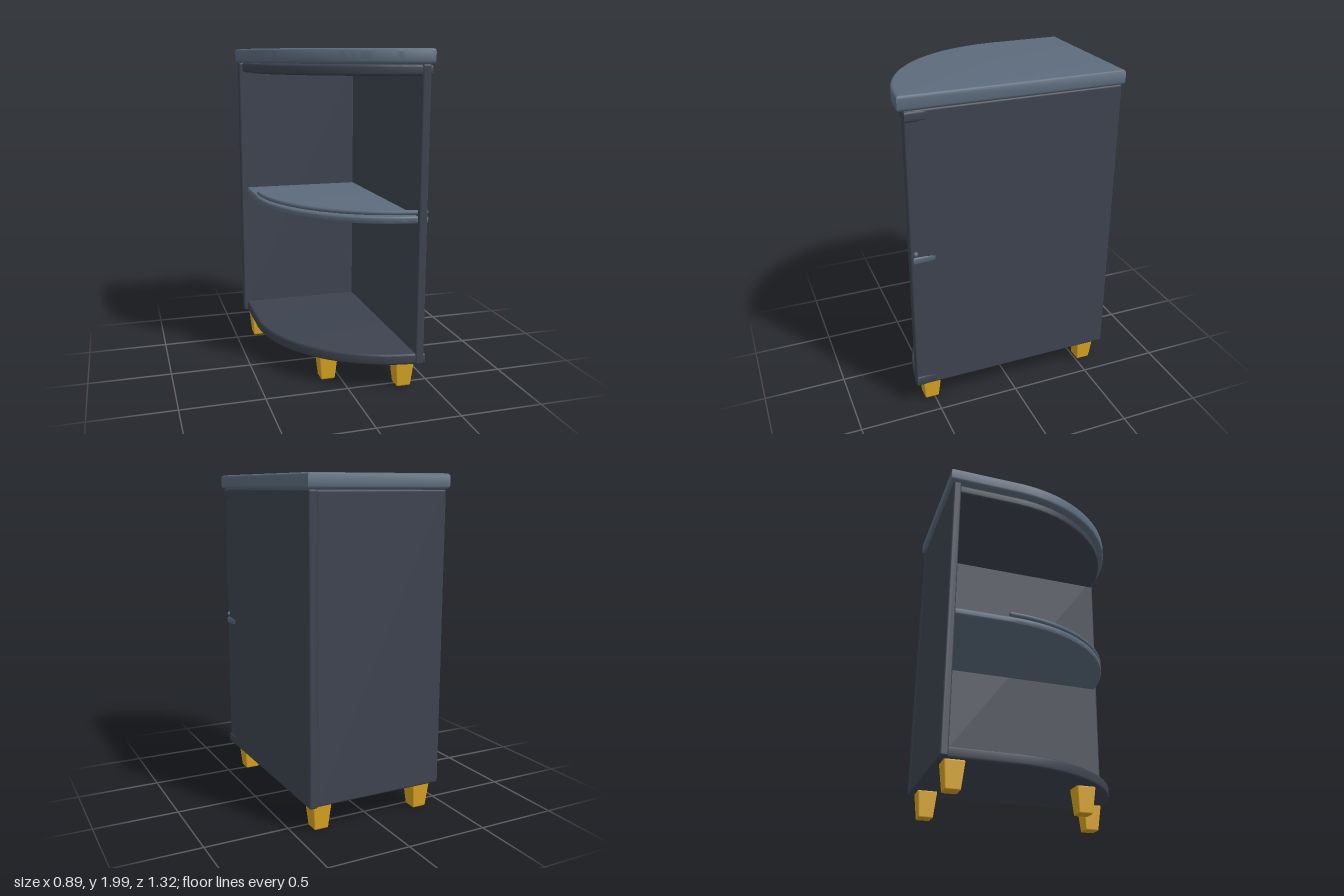
import * as THREE from 'three';
import { RoundedBoxGeometry } from 'three/addons/geometries/RoundedBoxGeometry.js';
import { toCreasedNormals } from 'three/addons/utils/BufferGeometryUtils.js';

const mat = (name, color) => new THREE.MeshStandardMaterial({ name, color });

// Quarter-ellipse board with a rounded edge. Plan is drawn with shape y = -z.
function board({ left, right, back, front, curveZ, y0, y1, bevel, overhang = 0 }) {
  const s = new THREE.Shape();
  s.moveTo(left, -back);
  s.lineTo(left, -curveZ);
  // curve from the left edge round to the front corner
  s.absellipse(right, -curveZ, right - left, front - curveZ, Math.PI, Math.PI * 1.5, false);
  // the front corner may stand slightly proud of the side panel
  if (overhang) s.lineTo(right - overhang, -(front - 0.23));
  s.lineTo(right - overhang, -back);
  s.closePath();
  const g = new THREE.ExtrudeGeometry(s, {
    depth: y1 - y0 - 2 * bevel,
    bevelEnabled: true, bevelThickness: bevel, bevelSize: bevel,
    bevelOffset: -bevel, bevelSegments: 4, curveSegments: 24,
  });
  g.rotateX(-Math.PI / 2).translate(0, y0 + bevel, 0);
  return toCreasedNormals(g, 0.7);
}

// Rounded box given by its limits
function panel(x0, x1, y0, y1, z0, z1) {
  return new RoundedBoxGeometry(x1 - x0, y1 - y0, z1 - z0, 3, 0.012)
    .translate((x0 + x1) / 2, (y0 + y1) / 2, (z0 + z1) / 2);
}

// Square foot, narrowing towards the floor
function footGeometry() {
  const h = 0.162;
  const g = new RoundedBoxGeometry(0.12, h, 0.12, 2, 0.01);
  const p = g.attributes.position;
  for (let i = 0; i < p.count; i++) {
    const k = 0.72 + 0.28 * (p.getY(i) / h + 0.5);
    p.setX(i, p.getX(i) * k);
    p.setZ(i, p.getZ(i) * k);
  }
  return g.translate(0, 0.006 + h / 2, 0);
}

export function createModel() {
  const model = new THREE.Group();
  model.name = 'cornerCabinet';
  const slate = mat('slate', 0x5c6b7c);
  const charcoal = mat('charcoal', 0x3d434f);
  const gold = mat('gold', 0xd4a020);
  const add = (name, geometry, material) => {
    const m = new THREE.Mesh(geometry, material);
    m.name = name;
    model.add(m);
    return m;
  };

  // Upright panels
  add('sidePanel', panel(0.378, 0.431, 0.163, 1.915, -0.65, 0.627), charcoal);
  add('backPanel', panel(-0.431, 0.385, 0.167, 1.912, -0.645, -0.595), charcoal);

  // Horizontal boards
  add('topBoard', board({ left: -0.442, right: 0.44, back: -0.662, front: 0.66, curveZ: -0.23,
    y0: 1.914, y1: 2, bevel: 0.018 }), slate);
  const inner = { left: -0.405, right: 0.44, back: -0.62, front: 0.625, curveZ: -0.24, overhang: 0.016 };
  add('upperBoard', board({ ...inner, y0: 1.85, y1: 1.912, bevel: 0.015 }), charcoal);
  add('bottomBoard', board({ ...inner, y0: 0.165, y1: 0.233, bevel: 0.015 }), charcoal);
  add('middleShelf', board({ ...inner, left: -0.39, front: 0.612, y0: 1.018, y1: 1.062, bevel: 0.012 }), slate);

  // Curved rail along the shelf edge
  const path = [];
  for (let i = 0; i <= 16; i++) {
    const a = (i / 16) * Math.PI / 2;
    path.push(new THREE.Vector3(0.432 - 0.806 * Math.cos(a), 1.083, -0.25 + 0.847 * Math.sin(a)));
  }
  const curve = new THREE.CatmullRomCurve3(path);
  add('shelfRail', new THREE.TubeGeometry(curve, 48, 0.014, 10), slate);
  [0, 16].forEach((i) => {
    add('railEnd', new THREE.SphereGeometry(0.014, 10, 8), slate).position.copy(path[i]);
  });

  // Feet
  const foot = footGeometry();
  [[0.333, 0.517], [0.333, -0.553], [-0.335, -0.553], [-0.078, 0.3]].forEach(([x, z]) => {
    add('foot', foot, gold).position.set(x, 0, z);
  });

  return model;
}
